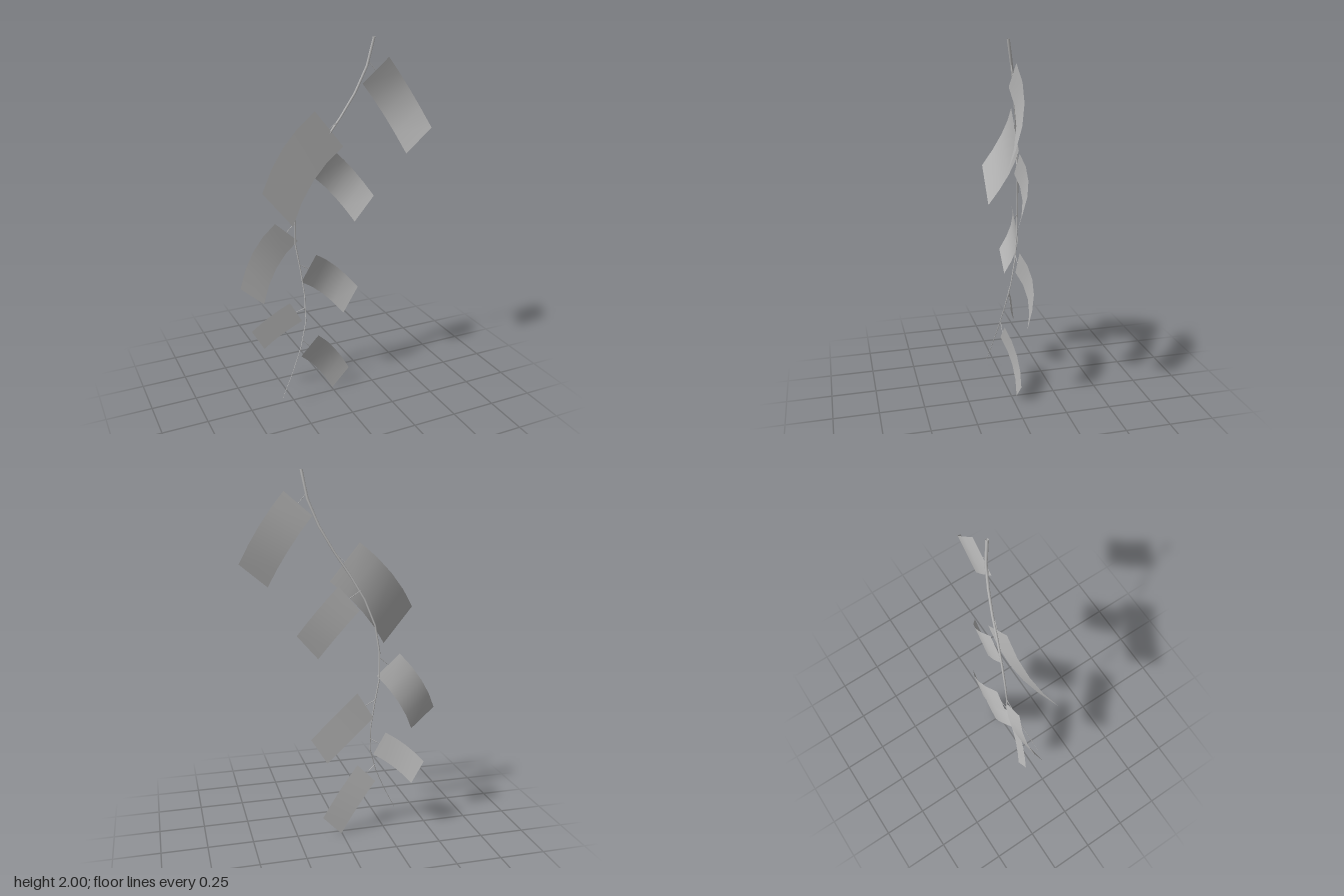
import * as THREE from 'three';

const V = (a) => new THREE.Vector3(...a);

// Each leaf: upper base corner, lower base corner, upper tip corner (x, y),
// depth at base / middle / tip, and the point where its stalk meets the stem
const LEAVES = [
  { a: [0.285, 1.895], b: [0.137, 1.77], tip: [0.515, 1.525], z: [0.049, 0.044, 0.112], node: [0.17, 1.88, 0.043] },
  { a: [-0.095, 1.637], b: [0.065, 1.44], tip: [-0.42, 1.27], z: [-0.022, -0.012, 0.068], node: [0.02, 1.57, -0.012] },
  { a: [0.022, 1.415], b: [-0.092, 1.283], tip: [0.238, 1.155], z: [-0.038, -0.053, 0.002], node: [-0.09, 1.39, -0.055] },
  { a: [-0.305, 1.047], b: [-0.177, 0.932], tip: [-0.517, 0.722], z: [-0.078, -0.103, -0.054], node: [-0.195, 1.03, -0.082] },
  { a: [-0.075, 0.838], b: [-0.165, 0.692], tip: [0.182, 0.597], z: [-0.065, -0.1, -0.067], node: [-0.175, 0.795, -0.066] },
  { a: [-0.245, 0.59], b: [-0.175, 0.468], tip: [-0.447, 0.425], z: [-0.04, -0.07, -0.11], node: [-0.162, 0.555, -0.02] },
  { a: [-0.1, 0.388], b: [-0.205, 0.28], tip: [0.11, 0.11], z: [0.015, -0.028, -0.029], node: [-0.2, 0.38, 0.015] },
];

// Tube that narrows from radius r0 to r1
function taperedTube(points, r0, r1, segments) {
  const curve = new THREE.CatmullRomCurve3(points.map(V));
  const sides = 6;
  const geo = new THREE.TubeGeometry(curve, segments, 1, sides);
  const pos = geo.attributes.position;
  const p = new THREE.Vector3();
  for (let i = 0; i < pos.count; i++) {
    const t = Math.floor(i / (sides + 1)) / segments;
    const centre = curve.getPointAt(t);
    p.fromBufferAttribute(pos, i).sub(centre).multiplyScalar(r0 + (r1 - r0) * t).add(centre);
    pos.setXYZ(i, p.x, p.y, p.z);
  }
  return geo;
}

// Drooping rectangular blade: the base edge swept along a bent path
function leafGeometry({ a, b, tip, z }) {
  const start = V([a[0], a[1], z[0]]);
  const end = V([tip[0], tip[1], z[2]]);
  const bulge = 0.032 * start.distanceTo(end);
  const mid = V([
    (a[0] + tip[0]) / 2 + Math.sign(tip[0] - a[0]) * bulge,
    (a[1] + tip[1]) / 2 + bulge,
    z[1],
  ]);
  // control point that makes the path pass through mid
  const control = mid.multiplyScalar(2).addScaledVector(start, -0.5).addScaledVector(end, -0.5);
  const path = new THREE.QuadraticBezierCurve3(start, control, end);
  const width = V([b[0] - a[0], b[1] - a[1], 0]);
  const rows = 4;
  const geo = new THREE.PlaneGeometry(1, 1, 1, rows);
  const flip = tip[0] > a[0] ? 1 : 0; // keeps the face towards +z on both sides
  for (let r = 0; r <= rows; r++) {
    const p = path.getPoint(r / rows);
    for (let c = 0; c < 2; c++) {
      const q = p.clone().addScaledVector(width, c === flip ? 1 : 0);
      geo.attributes.position.setXYZ(r * 2 + c, q.x, q.y, q.z);
    }
  }
  geo.computeVertexNormals();
  return geo;
}

export function createModel() {
  const group = new THREE.Group();
  group.name = 'hangingVine';
  const leafMaterial = new THREE.MeshStandardMaterial({ color: 0xbcbcbc, side: THREE.DoubleSide });
  leafMaterial.name = 'leafGrey';

  const add = (name, geo) => {
    const mesh = new THREE.Mesh(geo, leafMaterial);
    mesh.name = name;
    group.add(mesh);
  };

  // Main stem, thick at the top and fine at the hanging end
  add('stem', taperedTube([
    [0.19, 2, 0.064], [0.172, 1.88, 0.043], [0.13, 1.76, 0.022], [0.07, 1.64, -0.003],
    [0, 1.53, -0.024], [-0.1, 1.37, -0.056], [-0.168, 1.2, -0.077], [-0.19, 1.06, -0.081],
    [-0.193, 0.93, -0.08], [-0.163, 0.7, -0.053], [-0.165, 0.5, -0.005],
    [-0.22, 0.32, 0.03], [-0.34, 0.08, 0.07],
  ], 0.0078, 0.0012, 14));

  // Leaves with their short stalks
  LEAVES.forEach((leaf, i) => {
    add(`leaf${i + 1}`, leafGeometry(leaf));
    const { a, b, z, node } = leaf;
    const joint = [(a[0] + b[0]) / 2, (a[1] + b[1]) / 2, z[0]];
    add(`stalk${i + 1}`, taperedTube([node, joint], 0.0022, 0.0015, 2));
  });

  return group;
}
